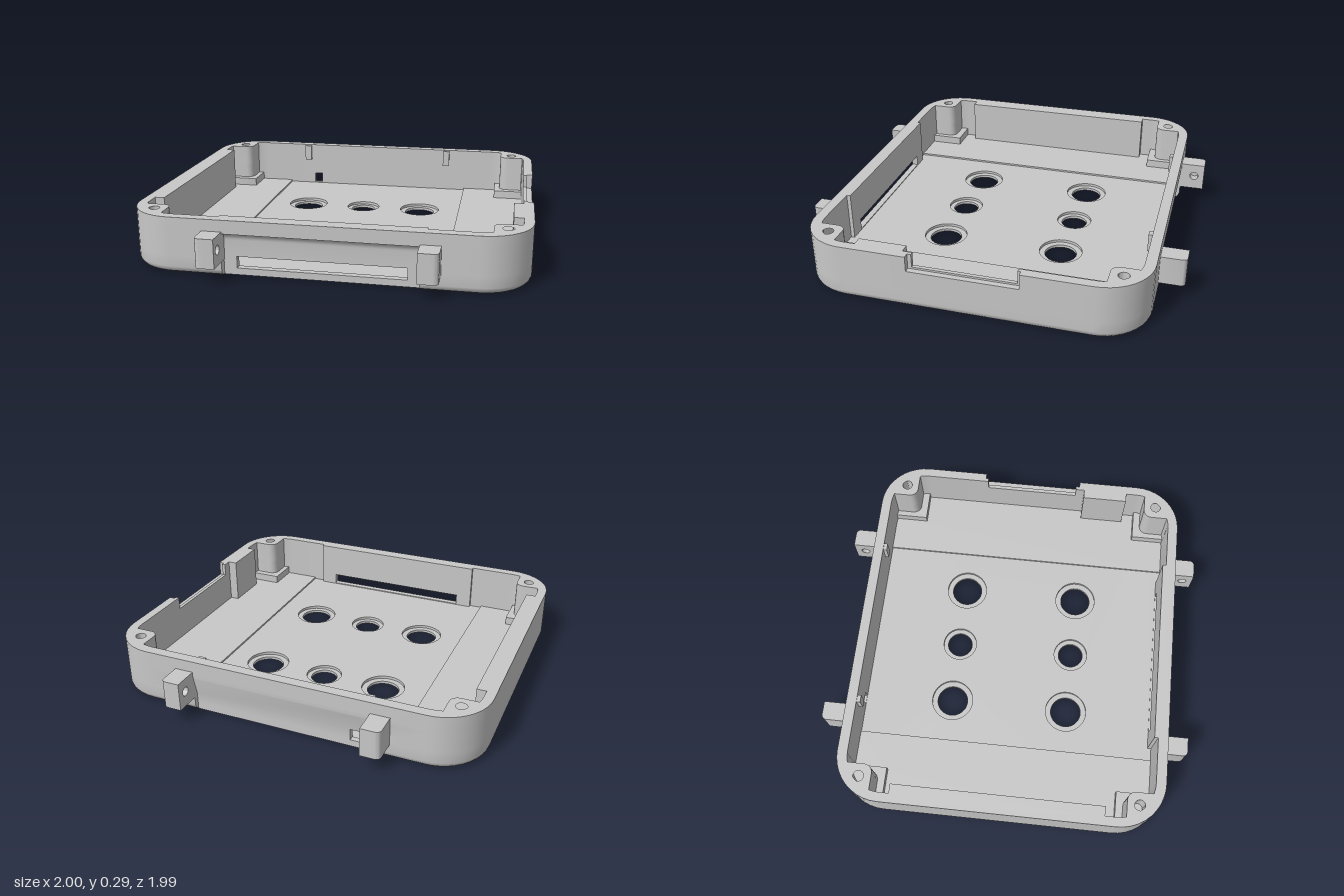
import * as THREE from 'three';
import { toCreasedNormals } from 'three/addons/utils/BufferGeometryUtils.js';

const ZF = 0.88, ZB = -0.865, R = 0.25, H = 0.29, FILLET = 0.04;
const CX = 1 - R, CF = ZF - R, CB = ZB + R;

// Plan outline, anticlockwise from above: front, right, back, left
function planOutline() {
  const pts = [];
  const add = (x, z, nx, nz, tag) => pts.push({ x, z, nx, nz, tag });
  const corner = (cx, cz, start) => {
    for (let k = 0; k <= 10; k++) {
      const a = start + (k / 10) * Math.PI / 2;
      add(cx + R * Math.cos(a), cz - R * Math.sin(a), Math.cos(a), -Math.sin(a));
    }
  };
  add(-0.485, ZF, 0, 1);
  for (const x of [-0.485, -0.42, 0.42, 0.48]) add(x, ZF, 0, 1, 'recess');
  add(0.48, ZF, 0, 1);
  corner(CX, CF, -Math.PI / 2);
  add(1, 0.29, 1, 0);
  add(1, -0.27, 1, 0);
  corner(CX, CB, 0);
  add(0.48, ZB, 0, -1);
  for (const x of [0.48, -0.37, -0.42, -0.48]) add(x, ZB, 0, -1, 'taper');
  add(-0.48, ZB, 0, -1);
  corner(-CX, CB, Math.PI / 2);
  corner(-CX, CF, Math.PI);
  return pts;
}

function outer(p, y) {
  // Rear panel leans gently inward towards the floor
  if (p.tag === 'taper') return [p.x, y, ZB + 0.025 * Math.min(Math.max((0.2 - y) / 0.105, 0), 1)];
  if (p.tag === 'recess') {
    const t = Math.min(Math.max(y - 0.18, 0), 0.04);
    return [p.x, y, ZF - Math.sqrt(Math.max(0, 0.0016 - t * t))];
  }
  const d = Math.max(FILLET - y, 0);
  const f = FILLET - Math.sqrt(FILLET * FILLET - d * d);
  return [p.x - p.nx * f, y, p.z - p.nz * f];
}

function inner(p, y) {
  return [p.x - p.nx * 0.05, y, p.tag === 'recess' ? 0.805 : p.z - p.nz * 0.055];
}

// Wall built from cells; empty cells form the slots and the side notch
function wallGeometry(pts) {
  const ys = [0, 0.003, 0.01, 0.021, 0.035, 0.04, 0.095, 0.18, 0.19, 0.2, 0.21, 0.216, 0.22, H];
  const n = pts.length, layers = ys.length - 1, pos = [];
  const quad = (a, b, c, d) => pos.push(...a, ...b, ...c, ...a, ...c, ...d);
  const solid = (j, i) => {
    if (i < 0 || i >= layers) return false;
    const p = pts[(j + n) % n], q = pts[(j + 1 + n) % n];
    const x = (p.x + q.x) / 2, z = (p.z + q.z) / 2, y = (ys[i] + ys[i + 1]) / 2;
    const slotHeight = y > 0.035 && y < 0.095;
    if (slotHeight && z > 0.8 && Math.abs(x) < 0.1) return false;
    if (slotHeight && z < -0.8 && x > -0.42 && x < -0.37) return false;
    return !(y > 0.21 && x > 0.99 && Math.abs(z) < 0.1);
  };
  for (let j = 0; j < n; j++) for (let i = 0; i < layers; i++) {
    if (!solid(j, i)) continue;
    const p = pts[j], q = pts[(j + 1) % n], y0 = ys[i], y1 = ys[i + 1];
    const a = outer(p, y0), b = outer(q, y0), c = outer(q, y1), d = outer(p, y1);
    const e = inner(p, y0), f = inner(q, y0), g = inner(q, y1), h = inner(p, y1);
    quad(a, b, c, d);
    quad(f, e, h, g);
    if (!solid(j, i + 1)) quad(d, c, g, h);
    if (!solid(j, i - 1)) quad(e, f, b, a);
    if (!solid(j - 1, i)) quad(e, a, d, h);
    if (!solid(j + 1, i)) quad(b, f, g, c);
  }
  const geo = new THREE.BufferGeometry();
  geo.setAttribute('position', new THREE.Float32BufferAttribute(pos, 3));
  return toCreasedNormals(geo, 0.6);
}

export function createModel() {
  const group = new THREE.Group();
  const grey = new THREE.MeshStandardMaterial({ color: 0xc8c8c8 });
  grey.name = 'light grey plastic';
  const add = (name, geo) => {
    const m = new THREE.Mesh(geo, grey);
    m.name = name;
    group.add(m);
    return m;
  };
  const box = (name, x0, x1, y0, y1, z0, z1) => {
    add(name, new THREE.BoxGeometry(x1 - x0, y1 - y0, z1 - z0))
      .position.set((x0 + x1) / 2, (y0 + y1) / 2, (z0 + z1) / 2);
  };
  // Horizontal slab from [x, z] points with round holes [x, z, radius]
  const slab = (name, pts, y0, y1, holes = []) => {
    const s = new THREE.Shape(pts.map(([x, z]) => new THREE.Vector2(x, -z)));
    for (const [x, z, r] of holes) s.holes.push(new THREE.Path().absarc(x, -z, r, 0, Math.PI * 2, true));
    const g = new THREE.ExtrudeGeometry(s, { depth: y1 - y0, bevelEnabled: false, curveSegments: 20 });
    g.rotateX(-Math.PI / 2).translate(0, y0, 0);
    add(name, toCreasedNormals(g, 0.6));
  };

  const outline = planOutline();
  add('outerWall', wallGeometry(outline));

  // Floor in two layers, so the holes are counterbored
  const holes = [];
  for (const z of [-0.32, 0.33]) for (const x of [-0.345, 0, 0.345]) holes.push([x, z, x ? 0.085 : 0.07]);
  const floor = outline.map(p => { const q = inner(p, 0); return [q[0], q[2]]; })
    .filter((p, i, a) => { const b = a[(i + 1) % a.length]; return Math.hypot(p[0] - b[0], p[1] - b[1]) > 1e-5; });
  slab('floorBase', floor, 0, 0.015, holes);
  slab('floorTop', floor, 0.015, 0.03, holes.map(([x, z, r]) => [x, z, r === 0.07 ? 0.095 : 0.115]));

  // Raised floor strips along both sides
  for (const s of [-1, 1]) {
    const strip = [[0.58, -0.815], [0.79, -0.815], [0.79, -0.63], [0.955, -0.63],
      [0.955, 0.645], [0.79, 0.645], [0.79, 0.83], [0.58, 0.83]];
    slab('floorSideStep', strip.map(([x, z]) => [s * x, z]), 0.025, 0.04);
  }

  // Corner screw posts on low feet
  for (const sx of [-1, 1]) for (const sz of [-1, 1]) {
    const cz = sz > 0 ? CF : CB;
    const place = ([u, v]) => [sx * (CX + u), cz + sz * v];
    const sector = (u0, v0, r, round) => {
      const pts = [], a0 = Math.asin(v0 / r), a1 = Math.acos(u0 / r);
      for (let k = 0; k <= 12; k++) {
        const a = a0 + (a1 - a0) * k / 12;
        pts.push([r * Math.cos(a), r * Math.sin(a)]);
      }
      for (let k = 0; k <= 6; k++) {
        const a = Math.PI + k / 6 * Math.PI / 2;
        pts.push([u0 + round * (1 + Math.cos(a)), v0 + round * (1 + Math.sin(a))]);
      }
      return pts.map(place);
    };
    const post = sector(0.06, 0.05, 0.203, 0.045);
    slab('postFoot', sector(0.03, 0.01, 0.205, 0.001), 0.025, 0.085);
    slab('postLower', post, 0.08, 0.17);
    slab('postUpper', post, 0.17, H, [[...place([0.127, 0.117]), 0.028]]);
  }

  // Inner rails, thicker front wall ends, notch lip and clips
  box('leftRail', -0.96, -0.9, 0.025, H, -0.56, 0.57);
  box('rightRail', 0.9, 0.96, 0.025, H, 0.32, 0.57);
  box('frontWallEndLeft', 0.47, 0.51, 0.025, H, 0.805, 0.835);
  box('frontWallEndRight', -0.51, -0.475, 0.025, H, 0.805, 0.835);
  box('notchLipBottom', 0.95, 0.97, 0.2, 0.22, -0.27, 0.29);
  box('notchLipFront', 0.95, 0.97, 0.2, H, 0.27, 0.295);
  box('notchLipBack', 0.95, 0.97, 0.2, H, -0.275, -0.255);
  for (const x of [-0.46, 0.46]) box('backClip', x - 0.02, x + 0.02, 0.19, 0.285, -0.82, -0.79);

  // Hinge lugs with blind pin holes on their facing sides
  for (const sx of [-1, 1]) for (const sz of [-1, 1]) {
    const wall = sz > 0 ? 0.845 : 0.835, end = sz > 0 ? 0.995 : 0.997, r = 0.025;
    const pts = [[0.53, wall], [0.58, wall]];
    for (let k = 0; k <= 5; k++) {
      const a = k / 5 * Math.PI / 2;
      pts.push([0.58 - r + r * Math.cos(a), end - r + r * Math.sin(a)]);
    }
    pts.push([0.53, end]);
    slab('lugOuter', pts.map(([x, z]) => [sx * x, sz * z]), 0.08, 0.23);
    const s = new THREE.Shape();
    s.moveTo(wall, 0.08).lineTo(end, 0.08).lineTo(end, 0.23).lineTo(wall, 0.23);
    s.holes.push(new THREE.Path().absarc(0.94, 0.16, 0.024, 0, Math.PI * 2, true));
    const g = new THREE.ExtrudeGeometry(s, { depth: 0.05, bevelEnabled: false, curveSegments: 12 });
    // Shape faces along x; the rear copies turn the other way
    g.translate(0, 0, -0.025).rotateY(sz > 0 ? -Math.PI / 2 : Math.PI / 2).translate(sx * 0.505, 0, 0);
    add('lugInner', toCreasedNormals(g, 0.6));
  }
  return group;
}
